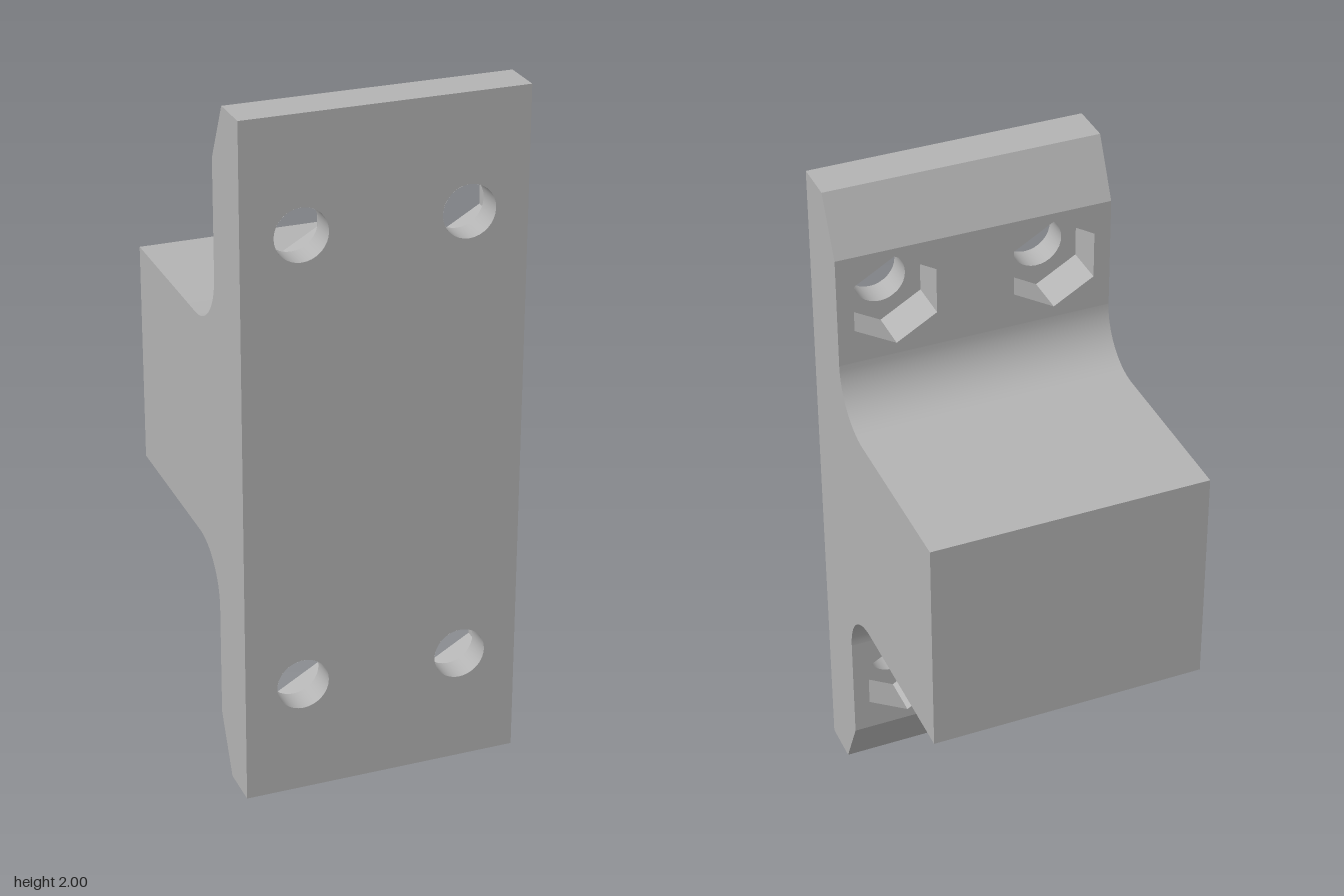
import * as THREE from 'three';
import { toCreasedNormals } from 'three/addons/utils/BufferGeometryUtils.js';

const W = 0.404;                       // half width
const FRONT = 0.436, BACK = 0.23;      // plate faces (z)
const REAR = -0.436;                   // rear of the block (z)
const FLOOR = BACK + 0.125;            // bottom of the nut pockets (z)
const HOLE_X = 0.235, HOLE_R = 0.076, HEX_R = 0.139;
const HOLE_YS = [0.335, 1.67];

const circle = (x, y) => new THREE.Path().absarc(x, y, HOLE_R, 0, Math.PI * 2, true);

function hexPoints(x, y) {
  return Array.from({ length: 6 }, (_, i) => {
    const a = Math.PI / 2 + i * Math.PI / 3;
    return new THREE.Vector2(x + HEX_R * Math.cos(a), y + HEX_R * Math.sin(a));
  });
}

// Flat rectangle across the full width, with holes cut through it
function panel(y0, y1, holes) {
  const s = new THREE.Shape([[-W, y0], [W, y0], [W, y1], [-W, y1]].map(p => new THREE.Vector2(...p)));
  s.holes = holes;
  return new THREE.ShapeGeometry(s, 32);
}

// Skin swept across the width along a list of [z, y] points
function strip(points) {
  const g = new THREE.PlaneGeometry(2 * W, 1, 1, points.length - 1);
  const pos = g.attributes.position;
  for (let i = 0; i < pos.count; i++) {
    const [z, y] = points[i >> 1];
    pos.setXYZ(i, pos.getX(i), y, z);
  }
  return toCreasedNormals(g, 0.4);
}

export function createModel() {
  const grey = new THREE.MeshStandardMaterial({ color: 0xb3b3b3, side: THREE.DoubleSide });
  grey.name = 'plain grey';
  const model = new THREE.Group();
  model.name = 'mountingBracket';
  const add = (name, geometry) => {
    const mesh = new THREE.Mesh(geometry, grey);
    mesh.name = name;
    model.add(mesh);
    return mesh;
  };

  // Side profile: chamfered plate ends and a filleted block
  const R = 0.165, blockLow = 0.667, blockHigh = 1.333;
  const lowEnd = [[FRONT, 0], [0.312, 0], [BACK, 0.167]];
  const highEnd = lowEnd.map(([z, y]) => [z, 2 - y]).reverse();
  const lowFillet = Array.from({ length: 17 }, (_, i) => {
    const a = i / 16 * Math.PI / 2;
    return [BACK - R + R * Math.cos(a), blockLow - R + R * Math.sin(a)];
  });
  const highFillet = lowFillet.map(([z, y]) => [z, 2 - y]).reverse();
  const block = [...lowFillet, [REAR, blockLow], [REAR, blockHigh], ...highFillet];

  add('lowerChamferedEnd', strip(lowEnd));
  add('filletedBlock', strip(block));
  add('upperChamferedEnd', strip(highEnd));

  // Side walls
  for (const s of [1, -1]) {
    const outline = [...lowEnd, ...block, ...highEnd].map(([z, y]) => new THREE.Vector2(s * z, y));
    const g = new THREE.ShapeGeometry(new THREE.Shape(outline)).rotateY(-s * Math.PI / 2);
    add(s > 0 ? 'rightSide' : 'leftSide', g).position.x = -s * W;
  }

  // Front face with four bolt holes
  const spots = HOLE_YS.flatMap(y => [[-HOLE_X, y], [HOLE_X, y]]);
  add('frontFace', panel(0, 2, spots.map(p => circle(...p)))).position.z = FRONT;

  // Back of the flanges, with hexagonal pocket openings
  const flange = blockLow - R;
  HOLE_YS.forEach((y, i) => {
    const [y0, y1] = i ? [2 - flange, 2 - 0.167] : [0.167, flange];
    const holes = [-HOLE_X, HOLE_X].map(x => new THREE.Path(hexPoints(x, y).reverse()));
    add(i ? 'upperFlangeBack' : 'lowerFlangeBack', panel(y0, y1, holes).rotateY(Math.PI)).position.z = BACK;
  });

  // Nut pockets and bolt bores
  for (const [x, y] of spots) {
    const hexDepth = FLOOR - BACK, boreDepth = FRONT - FLOOR;
    const walls = new THREE.CylinderGeometry(HEX_R, HEX_R, hexDepth, 6, 1, true).rotateX(Math.PI / 2);
    add('nutPocketWalls', toCreasedNormals(walls, 0.4)).position.set(x, y, BACK + hexDepth / 2);

    const floor = new THREE.Shape(hexPoints(0, 0));
    floor.holes.push(circle(0, 0));
    add('nutPocketFloor', new THREE.ShapeGeometry(floor, 32).rotateY(Math.PI)).position.set(x, y, FLOOR);

    const bore = new THREE.CylinderGeometry(HOLE_R, HOLE_R, boreDepth, 32, 1, true).rotateX(Math.PI / 2);
    add('boltBore', bore).position.set(x, y, FLOOR + boreDepth / 2);
  }
  return model;
}
